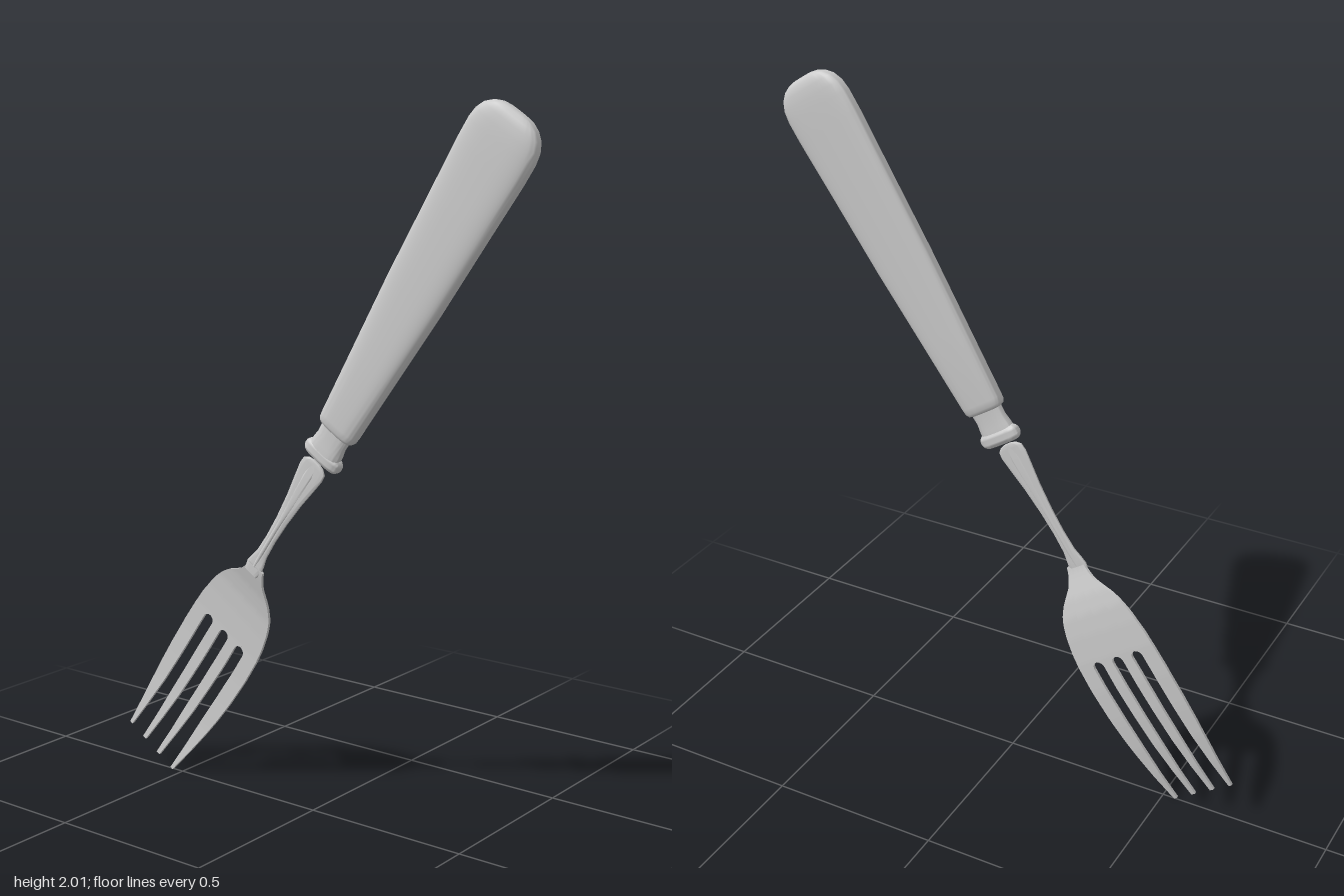
import * as THREE from 'three';
import { toCreasedNormals } from 'three/addons/utils/BufferGeometryUtils.js';

const material = new THREE.MeshStandardMaterial({ color: 0xcccccc, roughness: 0.6 });

// Linear lookup in a table of [v, value] rows, v ascending
function lookup(table, v) {
  if (v <= table[0][0]) return table[0][1];
  for (let i = 1; i < table.length; i++) {
    const [v0, a] = table[i - 1], [v1, b] = table[i];
    if (v <= v1) return a + ((b - a) * (v - v0)) / (v1 - v0);
  }
  return table[table.length - 1][1];
}

// Skin closed rings of [x, y, z] (ascending y) and cap both ends
function loft(name, rings, crease = 0.7) {
  const n = rings[0].length, index = [];
  for (let r = 0; r < rings.length - 1; r++) {
    for (let j = 0; j < n; j++) {
      const a = r * n + j, b = r * n + ((j + 1) % n);
      index.push(a, a + n, b, b, a + n, b + n);
    }
  }
  const top = (rings.length - 1) * n;
  for (let j = 1; j < n - 1; j++) index.push(0, j, j + 1, top, top + j + 1, top + j);
  const geo = new THREE.BufferGeometry();
  geo.setAttribute('position', new THREE.Float32BufferAttribute(rings.flat(2), 3));
  geo.setIndex(index);
  const mesh = new THREE.Mesh(toCreasedNormals(geo, crease), material);
  mesh.name = name;
  return mesh;
}

// Rounded-rectangle ring: half width w, half depth t, power p (1 = ellipse)
function ring(v, w, t, z = 0, p = 0.6, n = 40) {
  const pts = [];
  const pow = (c) => Math.sign(c) * Math.abs(c) ** p;
  for (let j = 0; j < n; j++) {
    const a = (j / n) * Math.PI * 2;
    pts.push([w * pow(Math.cos(a)), v, z + t * pow(Math.sin(a))]);
  }
  return pts;
}

const rod = (name, rows, z, p) => loft(name, rows.map(([v, w, t]) => ring(v, w, t, z, p)));

// Head: half width, bend in depth, and spacing of the outer slots
const TIP = -1.193, NECK = -0.425, SLOT = -0.705, R = 0.018;
const halfWidth = [[TIP, 0.104], [-1.12, 0.114], [-1.03, 0.125], [-0.96, 0.132], [-0.88, 0.137],
  [-0.78, 0.139], [-0.71, 0.137], [-0.66, 0.133], [-0.6, 0.122], [-0.57, 0.113], [-0.545, 0.102],
  [-0.52, 0.085], [-0.5, 0.067], [-0.48, 0.049], [-0.46, 0.038], [-0.44, 0.032], [NECK, 0.029]];
const depth = [[TIP, 0.002], [-1.1, -0.013], [-1.0, -0.024], [-0.9, -0.031], [-0.8, -0.035],
  [-0.7, -0.035], [-0.62, -0.031], [-0.56, -0.025], [-0.51, -0.014], [-0.47, 0.0],
  [-0.44, 0.01], [NECK, 0.013]];
const slotSpacing = [[TIP, 0.067], [-0.8, 0.071]];
const slotHalf = [[TIP, 0.027], [-1.0, 0.0195], [-0.85, R]];

function slotGap(v) {
  if (v >= SLOT) return 0;
  if (v > SLOT - R) return Math.sqrt(Math.max(0, R * R - (v - SLOT + R) ** 2));
  return lookup(slotHalf, v);
}

// Each strip is one tine plus its share of the solid palm above the slots
function tine(i, rows) {
  const edge = (k, v) => {
    const w = lookup(halfWidth, v);
    if (k === 0 || k === 4) return k ? w : -w;
    const s = v > -0.78 ? (0.071 * w) / 0.139 : lookup(slotSpacing, v);
    return (k - 2) * s;
  };
  const rings = rows.map((v) => {
    const a = edge(i, v) + (i > 0 ? slotGap(v) : 0);
    const b = edge(i + 1, v) - (i < 3 ? slotGap(v) : 0);
    const z = lookup(depth, v), t = 0.0045;
    return [[b, v, z - t], [b, v, z + t], [a, v, z + t], [a, v, z - t]];
  });
  return loft('tine' + (i + 1), rings, 0.6);
}

export function createModel() {
  const model = new THREE.Group();
  model.name = 'fork';

  // Lower half: head and stem
  const lower = new THREE.Group();
  lower.name = 'headAndStem';
  lower.position.set(0.045, 1.046, 0);
  lower.rotation.z = THREE.MathUtils.degToRad(-34);

  const rows = [];
  for (let i = 0; i <= 56; i++) rows.push(TIP + ((NECK - TIP) * i) / 56);
  for (let i = 0; i <= 7; i++) rows.push(SLOT - R * (1 - Math.cos((i / 7) * Math.PI / 2)) - 1e-5);
  rows.sort((a, b) => a - b);
  const head = new THREE.Group();
  head.name = 'head';
  for (let i = 0; i < 4; i++) head.add(tine(i, rows));

  const stem = rod('stem', [[-0.455, 0.024, 0.004], [-0.43, 0.03, 0.005], [-0.41, 0.026, 0.005],
    [-0.38, 0.019, 0.005], [-0.32, 0.017, 0.005], [-0.25, 0.02, 0.005], [-0.17, 0.028, 0.005],
    [-0.1, 0.039, 0.005], [-0.065, 0.044, 0.005], [-0.045, 0.042, 0.005], [-0.034, 0.028, 0.005],
    [-0.03, 0.012, 0.004]], 0.012, 0.5);
  const ridge = rod('stemRidge', [[-0.43, 0.006, 0.006], [-0.38, 0.008, 0.008], [-0.28, 0.008, 0.008],
    [-0.17, 0.013, 0.008], [-0.08, 0.02, 0.007], [-0.04, 0.017, 0.005]], 0.012, 1);
  stem.position.x = ridge.position.x = -0.007;
  lower.add(head, stem, ridge);

  // Upper half: collar, ferrule and handle
  const upper = new THREE.Group();
  upper.name = 'handleAssembly';
  upper.position.set(0.042, 1.046, 0.008);
  upper.rotation.z = THREE.MathUtils.degToRad(-32.7);

  const bead = [];
  for (let i = 0; i <= 10; i++) {
    const a = (i / 10 - 0.5) * Math.PI;
    bead.push([0.022 * Math.sin(a), 0.047 + 0.02 * Math.cos(a), 0.01 + 0.015 * Math.cos(a)]);
  }
  upper.add(rod('collar', bead, -0.002, 0.7));
  upper.add(rod('ferrule', [[0.01, 0.054, 0.021], [0.03, 0.053, 0.02], [0.055, 0.049, 0.018],
    [0.1, 0.051, 0.02]], 0, 0.7));
  upper.add(rod('handle', [[0.082, 0.052, 0.019], [0.085, 0.059, 0.023], [0.093, 0.064, 0.027],
    [0.11, 0.066, 0.028], [0.33, 0.08, 0.028], [0.55, 0.094, 0.028], [0.8, 0.104, 0.028],
    [0.96, 0.111, 0.028], [1.02, 0.111, 0.028], [1.05, 0.106, 0.027], [1.075, 0.093, 0.025],
    [1.092, 0.074, 0.021], [1.102, 0.052, 0.015], [1.106, 0.03, 0.007]], 0, 0.62));

  model.add(lower, upper);
  return model;
}
